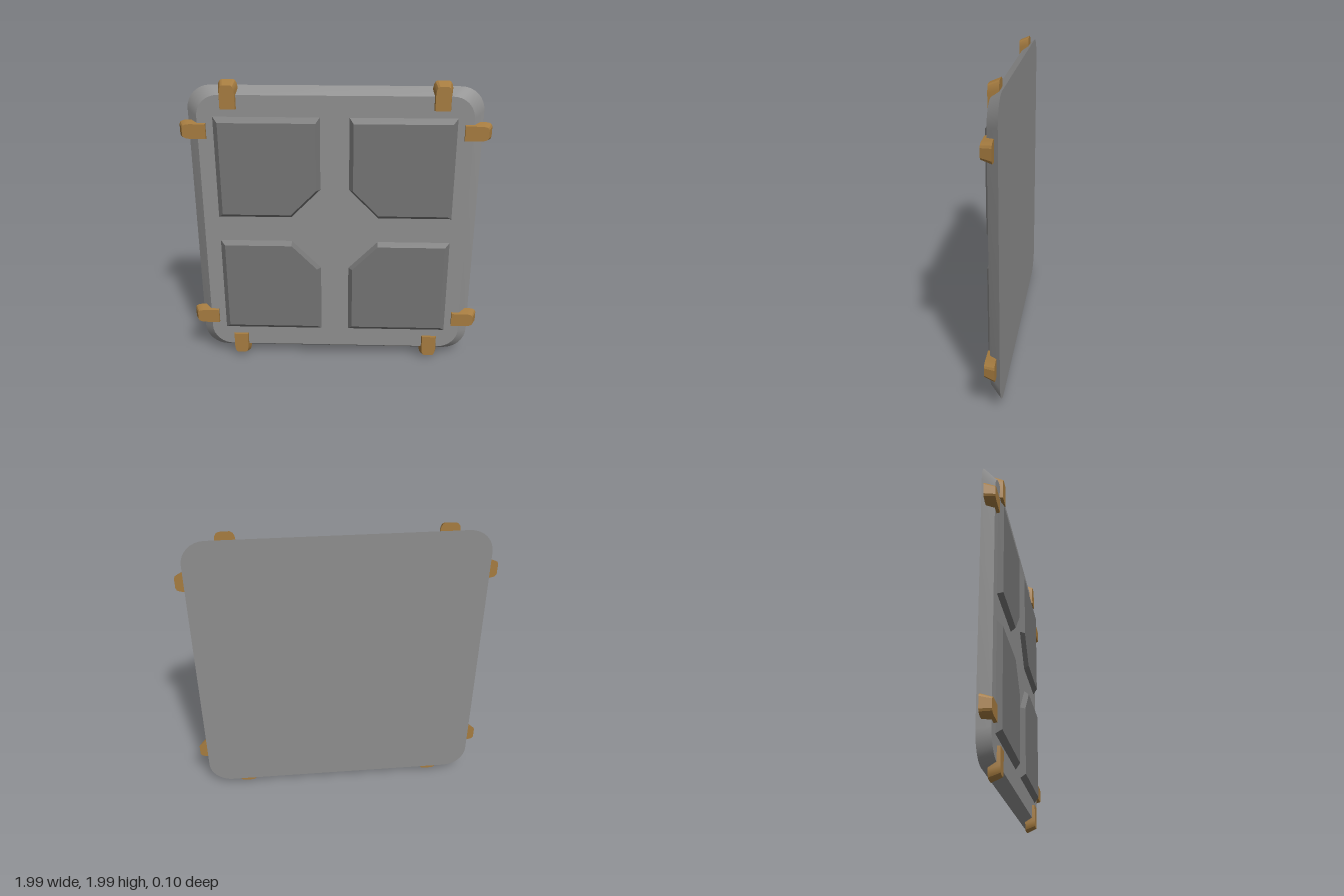
import * as THREE from 'three';
import { toCreasedNormals } from 'three/addons/utils/BufferGeometryUtils.js';

const CENTRE_Y = 1.004;

// Closed solid between two matching convex outlines (anticlockwise seen from the front)
function loft(front, back, zFront, zBack) {
  const pos = [];
  const n = front.length;
  const f = (i) => [...front[i % n], zFront];
  const b = (i) => [...back[i % n], zBack];
  const tri = (...corners) => corners.forEach((c) => pos.push(...c));
  for (let i = 0; i < n; i++) {
    tri(b(i), b(i + 1), f(i + 1));
    tri(b(i), f(i + 1), f(i));
    if (i > 0 && i < n - 1) {
      tri(f(0), f(i), f(i + 1));
      tri(b(0), b(i + 1), b(i));
    }
  }
  const geo = new THREE.BufferGeometry();
  geo.setAttribute('position', new THREE.Float32BufferAttribute(pos, 3));
  return toCreasedNormals(geo, 0.4);
}

// Rounded rectangle outline
function roundedRect(hx, hy, r, steps = 8) {
  const pts = [];
  [[1, 1], [-1, 1], [-1, -1], [1, -1]].forEach(([sx, sy], q) => {
    for (let i = 0; i <= steps; i++) {
      const a = (q + i / steps) * Math.PI / 2;
      pts.push([sx * (hx - r) + r * Math.cos(a), sy * (hy - r) + r * Math.sin(a)]);
    }
  });
  return pts;
}

// Square panel outline with the corner nearest the middle cut off
function panelOutline(x0, x1, y0, y1, sx, sy) {
  const pts = [[0.29, y0], [x1, y0], [x1, y1], [x0, y1], [x0, 0.285]];
  const out = pts.map(([x, y]) => [x * sx, y * sy]);
  return sx * sy < 0 ? out.reverse() : out;
}

// Clip outline pointing up: square inner end, rounded outer end
function clipOutline(half, inner, outer) {
  const right = [
    [half, inner],
    [half, outer - 0.046],
    [half * 0.92, outer - 0.022],
    [half * 0.78, outer - 0.007],
    [half * 0.55, outer],
  ];
  return [...right, ...right.map(([x, y]) => [-x, y]).reverse()];
}

export function createModel() {
  const model = new THREE.Group();
  model.name = 'panelledPlate';
  const plateMat = new THREE.MeshStandardMaterial({ color: 0x8f8f8f });
  const panelMat = new THREE.MeshStandardMaterial({ color: 0x747474 });
  const clipMat = new THREE.MeshStandardMaterial({ color: 0xa67c40 });

  const add = (name, geo, mat) => {
    const mesh = new THREE.Mesh(geo, mat);
    mesh.name = name;
    mesh.position.y = CENTRE_Y;
    model.add(mesh);
    return mesh;
  };

  // Bevelled backing plate
  add('plate', loft(roundedRect(0.875, 0.905, 0.14), roundedRect(0.942, 0.955, 0.155), 0.02, -0.05), plateMat);

  // Four raised panels
  for (const sx of [-1, 1]) {
    for (const sy of [-1, 1]) {
      const top = panelOutline(0.12, 0.742, 0.113, 0.734, sx, sy);
      const base = panelOutline(0.092, 0.776, 0.085, 0.769, sx, sy);
      const name = (sy > 0 ? 'upper' : 'lower') + (sx > 0 ? 'Left' : 'Right') + 'Panel';
      add(name, loft(top, base, 0.052, 0.018), panelMat);
    }
  }

  // Eight edge clips, two per side
  const sides = [
    { name: 'topClip', turn: 0, inner: 0.818, outer: 0.996 },
    { name: 'rightClip', turn: Math.PI / 2, inner: 0.82, outer: 0.997 },
    { name: 'bottomClip', turn: Math.PI, inner: 0.818, outer: 0.996 },
    { name: 'leftClip', turn: -Math.PI / 2, inner: 0.82, outer: 0.997 },
  ];
  for (const { name, turn, inner, outer } of sides) {
    const geo = loft(clipOutline(0.048, inner, outer - 0.027), clipOutline(0.062, inner, outer), 0.04, -0.026);
    for (const s of [-1, 1]) {
      const clip = add(name, geo, clipMat);
      clip.rotation.z = turn;
      if (Math.abs(Math.sin(turn)) < 0.5) clip.position.x = s * 0.672;
      else clip.position.y = CENTRE_Y + s * 0.674;
    }
  }
  return model;
}
